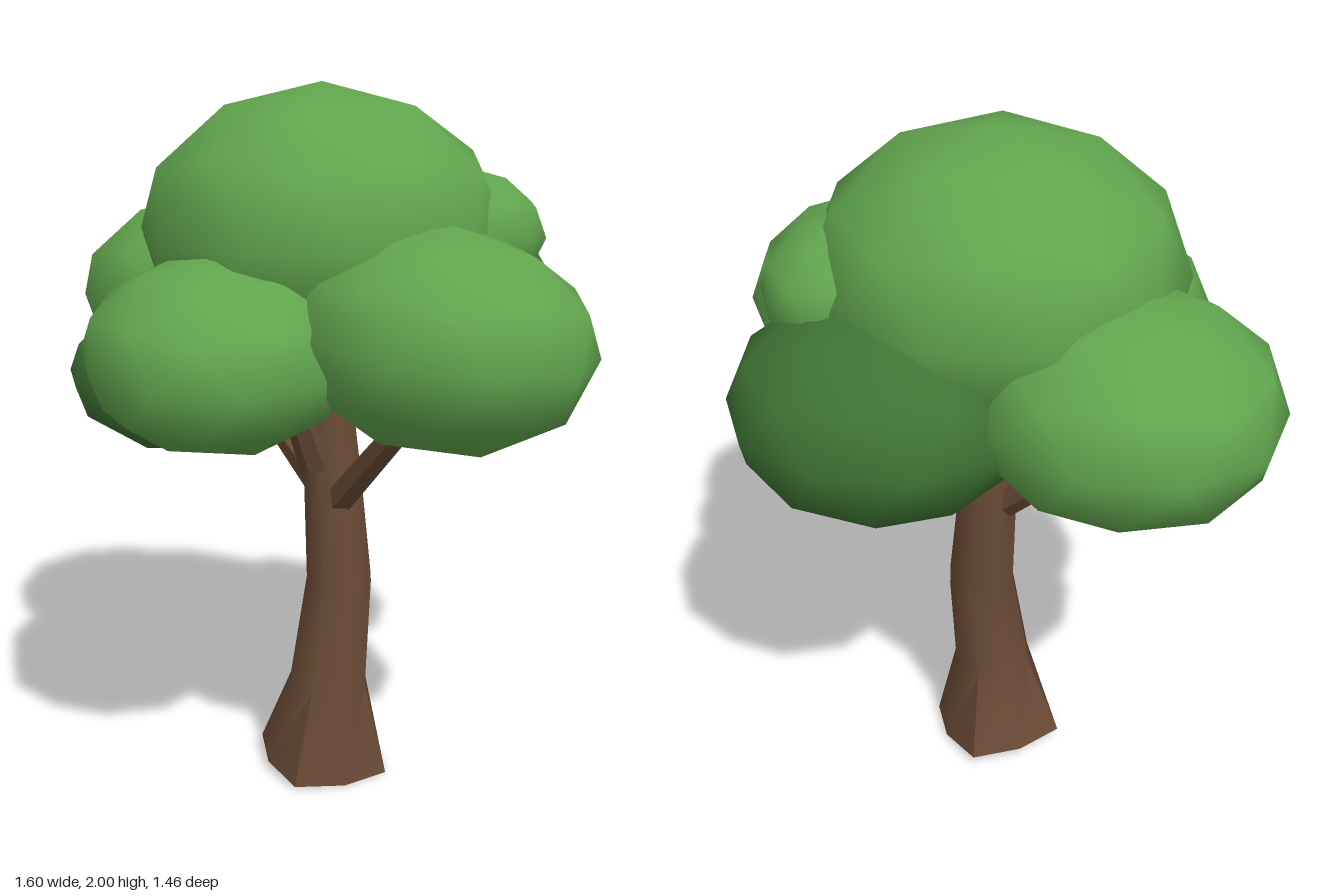
import * as THREE from 'three';
import { toCreasedNormals } from 'three/addons/utils/BufferGeometryUtils.js';

const leafGreen = new THREE.MeshStandardMaterial({ name: 'leafGreen', color: 0x61a54e });
const shadeGreen = new THREE.MeshStandardMaterial({ name: 'shadeGreen', color: 0x3f7434 });
const barkBrown = new THREE.MeshStandardMaterial({ name: 'barkBrown', color: 0x694a35 });

// Trunk rings from ground to crown: [y, centre x, centre z, radius]
const TRUNK_RINGS = [
  [0, 0, -0.015, 0.203],
  [0.28, 0.02, -0.005, 0.119],
  [0.6, 0.045, -0.03, 0.1],
  [0.9, 0.02, -0.04, 0.088],
  [1.28, 0.0, -0.035, 0.062],
];

// Foliage: [name, material, centre, radii, tilt]
const FOLIAGE = [
  ['crownTop', leafGreen, [-0.01, 1.605, -0.03], [0.505, 0.395, 0.49], [0, 0, 0]],
  ['crownLeft', leafGreen, [0.41, 1.375, 0.18], [0.41, 0.29, 0.36], [0, 0, -0.1]],
  ['crownRight', leafGreen, [-0.415, 1.385, -0.19], [0.41, 0.295, 0.4], [0, 0, 0.05]],
  ['crownFront', leafGreen, [-0.125, 1.335, 0.37], [0.36, 0.255, 0.36], [0.12, 0, -0.06]],
  ['crownSmall', leafGreen, [0.325, 1.59, -0.2], [0.24, 0.185, 0.255], [-0.1, 0, 0]],
  ['crownBack', shadeGreen, [0.185, 1.345, -0.365], [0.4, 0.29, 0.37], [0, 0, 0]],
  ['crownUnder', shadeGreen, [-0.31, 1.22, 0.17], [0.35, 0.21, 0.34], [0, 0, 0]],
];

// Branches: [base, tip]
const BRANCHES = [
  [[0.06, 0.85, 0.0], [0.34, 1.17, 0.18]],
  [[-0.02, 0.88, -0.04], [-0.3, 1.15, -0.13]],
  [[-0.01, 0.95, 0.02], [-0.03, 1.2, 0.15]],
];

// Eight-sided trunk that flares and bends along its rings
function buildTrunk() {
  const rows = TRUNK_RINGS.length - 1;
  const geometry = new THREE.CylinderGeometry(1, 1, rows, 8, rows);
  const p = geometry.attributes.position;
  for (let i = 0; i < p.count; i++) {
    const row = Math.round(p.getY(i) + rows / 2);
    const [y, cx, cz, r] = TRUNK_RINGS[row];
    // four root ridges stand out at the ground
    const diagonal = Math.abs(p.getX(i) * p.getZ(i)) > 0.1;
    const radius = row === 0 && diagonal ? r * 0.86 : r;
    const x = cx + p.getX(i) * radius;
    const z = cz + p.getZ(i) * radius;
    // the cut at the ground is slightly slanted
    const slant = row === 0 ? 0.022 - 0.1 * x - 0.05 * z : 0;
    p.setXYZ(i, x, y + slant, z);
  }
  const mesh = new THREE.Mesh(toCreasedNormals(geometry, 0.87), barkBrown);
  mesh.name = 'trunk';
  return mesh;
}

// Straight tapered branch between two points
function buildBranch(base, tip) {
  const a = new THREE.Vector3(...base);
  const b = new THREE.Vector3(...tip);
  const direction = b.clone().sub(a);
  const geometry = new THREE.CylinderGeometry(0.035, 0.046, direction.length(), 6);
  const mesh = new THREE.Mesh(toCreasedNormals(geometry, 0.6), barkBrown);
  mesh.position.copy(a).add(b).multiplyScalar(0.5);
  mesh.quaternion.setFromUnitVectors(new THREE.Vector3(0, 1, 0), direction.normalize());
  mesh.name = 'branch';
  return mesh;
}

export function createModel() {
  const tree = new THREE.Group();
  tree.name = 'tree';
  tree.add(buildTrunk());

  const branches = new THREE.Group();
  branches.name = 'branches';
  for (const [base, tip] of BRANCHES) branches.add(buildBranch(base, tip));
  tree.add(branches);

  // Squashed leaf clumps with smooth normals, one corner pointing straight up
  const foliage = new THREE.Group();
  foliage.name = 'foliage';
  const clump = new THREE.IcosahedronGeometry(1, 1).rotateZ(-Math.atan(2 / (1 + Math.sqrt(5))));
  for (const [name, material, centre, radii, tilt] of FOLIAGE) {
    const mesh = new THREE.Mesh(clump, material);
    mesh.name = name;
    mesh.position.set(...centre);
    mesh.scale.set(...radii);
    mesh.rotation.set(...tilt);
    foliage.add(mesh);
  }
  tree.add(foliage);
  return tree;
}
